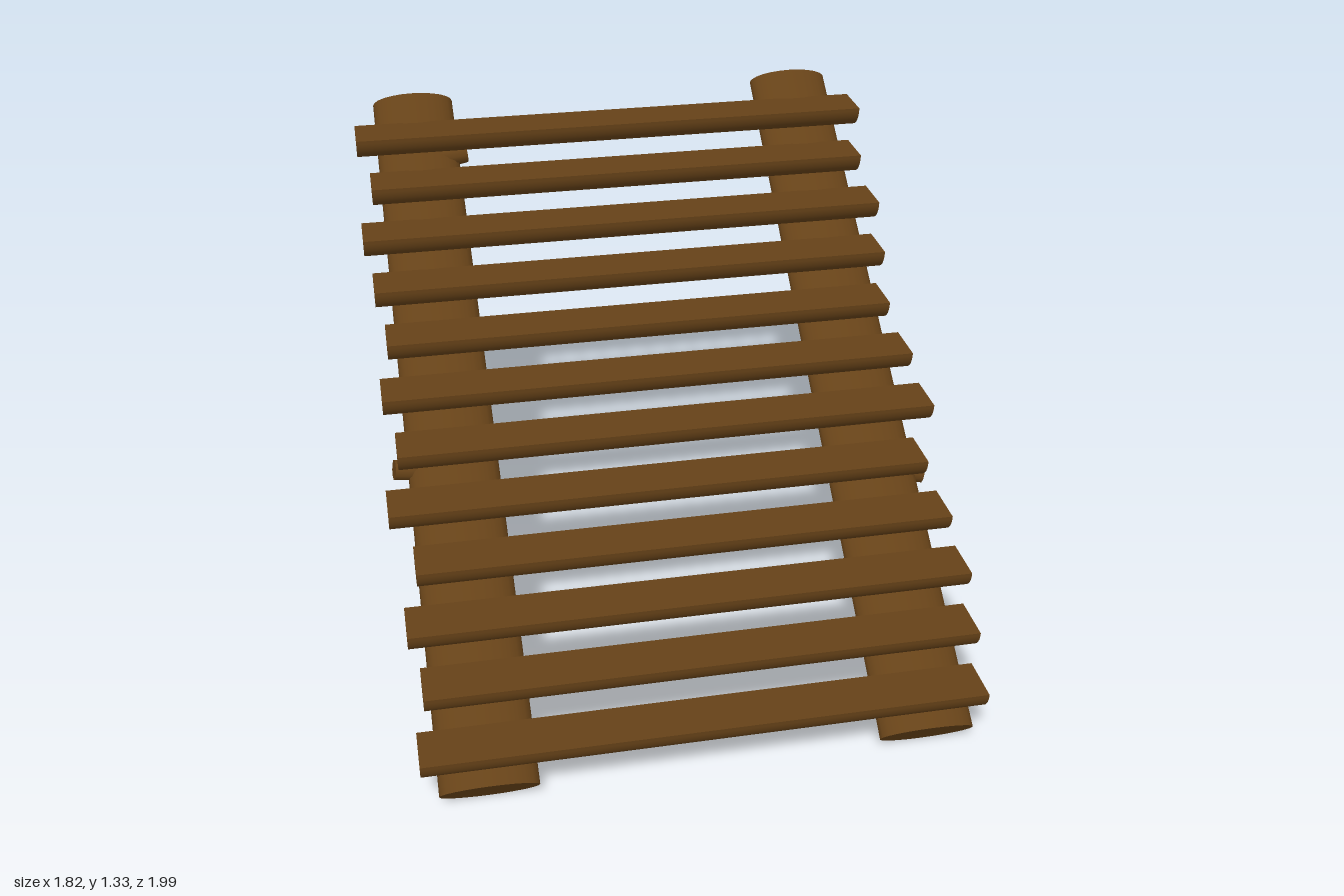
import * as THREE from 'three';
import { toCreasedNormals } from 'three/addons/utils/BufferGeometryUtils.js';

const wood = new THREE.MeshStandardMaterial({ color: 0x664218 });

// Cylinder between two points, optionally flattened across its local z
function rod(name, from, to, rFrom, rTo, flat = 1, sides = 24) {
  const dir = to.clone().sub(from);
  const geo = new THREE.CylinderGeometry(rTo, rFrom, dir.length(), sides);
  geo.scale(1, 1, flat);
  const mesh = new THREE.Mesh(geo, wood);
  mesh.name = name;
  mesh.position.copy(from).add(to).multiplyScalar(0.5);
  mesh.quaternion.setFromUnitVectors(new THREE.Vector3(0, 1, 0), dir.normalize());
  return mesh;
}

// Half log, flat side up, running along x
function halfLog(length, radius) {
  const shape = new THREE.Shape();
  shape.absarc(0, 0, radius, Math.PI, Math.PI * 2, false);
  shape.closePath();
  const geo = new THREE.ExtrudeGeometry(shape, { depth: length, bevelEnabled: false, curveSegments: 12 });
  geo.translate(0, 0, -length / 2).rotateY(Math.PI / 2);
  return toCreasedNormals(geo, 0.7);
}

export function createModel() {
  const model = new THREE.Group();
  model.name = 'logStairs';
  const stairs = new THREE.Group();
  stairs.name = 'stairs';
  stairs.rotation.y = THREE.MathUtils.degToRad(15);
  model.add(stairs);

  // Two flattened, slightly tapering log stringers
  for (const side of [-1, 1]) {
    stairs.add(rod(side > 0 ? 'leftStringer' : 'rightStringer',
      new THREE.Vector3(side * 0.573, 0.045, 0.782),
      new THREE.Vector3(side * 0.573, 1.285, -0.834), 0.127, 0.116, 0.46));
  }

  // Twelve half-log treads, each a little different in length and offset
  const shifts = [0, 0.02, 0.015, 0.026, -0.018, 0.028, 0.002, 0, 0, 0, 0.008, 0.007];
  const lengths = [1.455, 1.445, 1.485, 1.43, 1.455, 1.47, 1.47, 1.41, 1.45, 1.485, 1.425, 1.485];
  lengths.forEach((length, i) => {
    const tread = new THREE.Mesh(halfLog(length, 0.066), wood);
    tread.name = `tread${i + 1}`;
    tread.position.set(-0.014 + shifts[i], 0.19 + i * 0.0977, 0.765 - i * 0.1297);
    stairs.add(tread);
  });

  // Short cut-off branch stubs on the stringers
  const stubs = [
    [0.6, 0.495, 0.17, 0.727, 0.47, 0.195],
    [-0.6, 0.57, 0.08, -0.732, 0.59, 0.095],
    [-0.55, 1.17, -0.66, -0.435, 1.18, -0.675],
  ];
  for (const [ax, ay, az, bx, by, bz] of stubs) {
    stairs.add(rod('branchStub', new THREE.Vector3(ax, ay, az),
      new THREE.Vector3(bx, by, bz), 0.034, 0.028, 1, 10));
  }
  return model;
}
